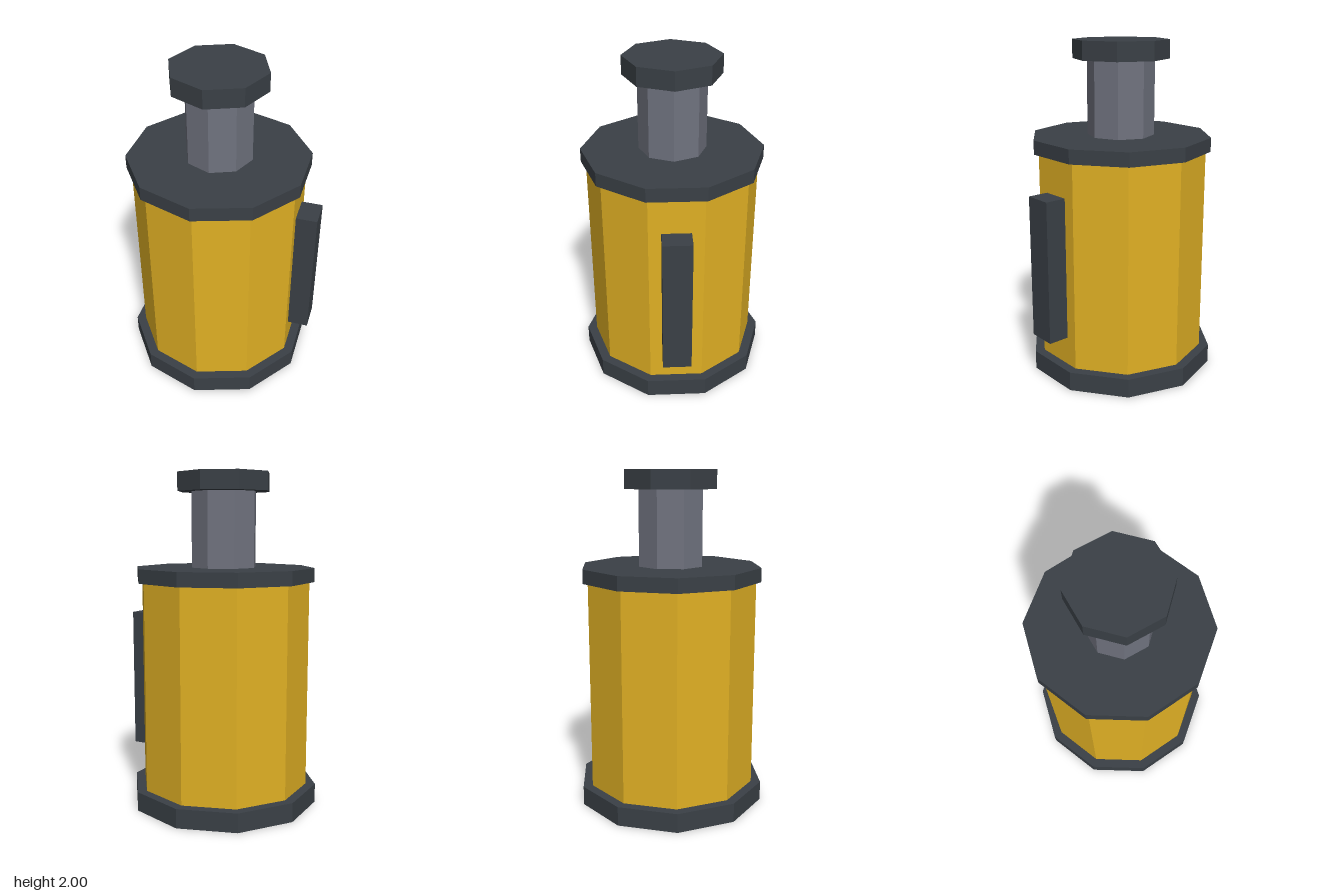
import * as THREE from 'three';

const AXIS_X = -0.036; // the canister sits off centre to make room for the side grip

function material(name, color) {
  const m = new THREE.MeshStandardMaterial({ color, flatShading: true });
  m.name = name;
  return m;
}

export function createModel() {
  const dark = material('dark grey', 0x3a4046);
  const yellow = material('yellow', 0xe0b024);
  const steel = material('steel grey', 0x70737f);

  const model = new THREE.Group();
  model.name = 'canister';

  // Upright prism between two heights
  const prism = (name, radius, sides, y0, y1, mat) => {
    const mesh = new THREE.Mesh(new THREE.CylinderGeometry(radius, radius, y1 - y0, sides), mat);
    mesh.name = name;
    mesh.position.set(AXIS_X, (y0 + y1) / 2, 0);
    model.add(mesh);
  };

  // Ten-sided canister
  prism('base', 0.571, 10, 0, 0.115, dark);
  prism('body', 0.513, 10, 0.115, 1.36, yellow);
  prism('lid', 0.542, 10, 1.36, 1.443, dark);

  // Eight-sided plunger
  prism('plungerStem', 0.2, 8, 1.443, 1.89, steel);
  prism('plungerCap', 0.285, 8, 1.89, 2, dark);

  // Grip on the left side
  const grip = new THREE.Mesh(new THREE.BoxGeometry(0.142, 0.857, 0.17), dark);
  grip.name = 'sideGrip';
  grip.position.set(0.507, 0.717, 0);
  model.add(grip);

  return model;
}
